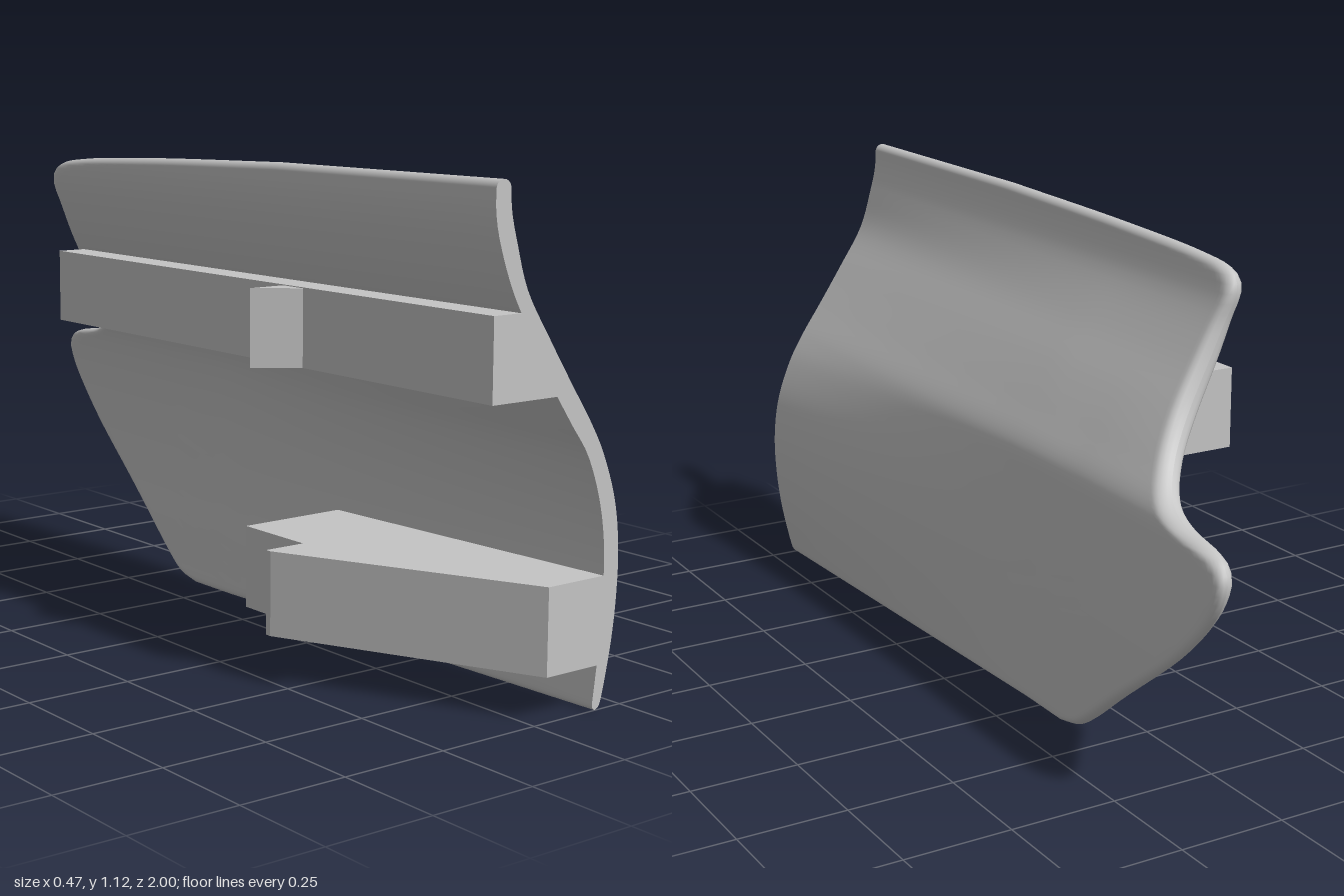
import * as THREE from 'three';

// Panel cross-sections: [height, inner x, outer x]
const FRONT = [
  [0, .165, .187], [.05, .172, .2], [.15, .184, .22], [.25, .19, .231], [.35, .19, .232],
  [.45, .173, .217], [.55, .135, .18], [.62, .085, .14], [.7, .03, .085], [.8, -.028, .018],
  [.9, -.085, -.045], [1, -.123, -.078], [1.06, -.135, -.093], [1.125, -.135, -.097],
];
const REAR = [
  [0, .1, .145], [.05, .103, .148], [.15, .108, .152], [.25, .114, .155], [.35, .115, .156],
  [.45, .112, .156], [.55, .1, .155], [.62, .08, .148], [.7, .035, .105], [.8, -.028, .045],
  [.9, -.085, -.02], [1, -.123, -.075], [1.06, -.135, -.093], [1.125, -.135, -.097],
];

// Rear edge of the panel from bottom to top: [z, y]
const EDGE = [
  [-.35, 0], [-.42, .017], [-.48, .055], [-.6, .148], [-.85, .34], [-.95, .44], [-.99, .5],
  [-1, .55], [-.98, .58], [-.93, .597], [-.83, .613], [-.76, .64], [-.7, .7], [-.66, .78],
  [-.64, .87], [-.636, .97], [-.645, 1.03], [-.635, 1.06], [-.6, 1.08], [-.5, 1.094],
  [-.2, 1.109], [.3, 1.122],
];

const clamp = THREE.MathUtils.clamp, lerp = THREE.MathUtils.lerp;

// Smooth interpolation of one column of a cross-section table
function sample(table, y, c) {
  let i = 0;
  while (i < table.length - 2 && y > table[i + 1][0]) i++;
  const slope = (k) => {
    const a = table[Math.max(k - 1, 0)], b = table[Math.min(k + 1, table.length - 1)];
    return (b[c] - a[c]) / (b[0] - a[0]);
  };
  const p = table[i], q = table[i + 1], h = q[0] - p[0], t = clamp((y - p[0]) / h, 0, 1);
  const t2 = t * t, t3 = t2 * t;
  return (2 * t3 - 3 * t2 + 1) * p[c] + (t3 - 2 * t2 + t) * h * slope(i)
    + (3 * t2 - 2 * t3) * q[c] + (t3 - t2) * h * slope(i + 1);
}

// Distance from a point to a polyline in the side plane
function distance(z, y, line) {
  let best = Infinity;
  for (let i = 0; i < line.length - 1; i++) {
    const a = line[i], b = line[i + 1], dz = b.x - a.x, dy = b.y - a.y;
    const t = clamp(((z - a.x) * dz + (y - a.y) * dy) / (dz * dz + dy * dy), 0, 1);
    best = Math.min(best, Math.hypot(z - a.x - t * dz, y - a.y - t * dy));
  }
  return best;
}

// Curved shell with a rounded rim and a flat front end
function panelGeometry() {
  const curve = new THREE.CatmullRomCurve3(EDGE.map(([z, y]) => new THREE.Vector3(z, y, 0)), false, 'centripetal');
  const edge = curve.getSpacedPoints(120);
  const rim = [new THREE.Vector3(1, 0, 0), ...edge, new THREE.Vector3(1, 1.122, 0)];
  const rows = edge.length, cols = 37, radius = .018;
  const inner = [], outer = [], cap = [], index = [];

  edge.forEach((e) => {
    for (let j = 0; j < cols; j++) {
      const y = e.y, z = lerp(e.x, 1, (1 - j / (cols - 1)) ** 2);
      const back = clamp((1 - z) / 1.2, 0, 1);
      const tip = clamp((-z - .4) / .6, 0, 1) * (1 - THREE.MathUtils.smoothstep(y, .62, .85));
      const xi = lerp(sample(FRONT, y, 1), sample(REAR, y, 1), back) + .035 * tip;
      const xo = lerp(sample(FRONT, y, 2), sample(REAR, y, 2), back) + .02 * tip;
      const d = Math.min(distance(z, y, rim) / radius, 1);
      const half = (xo - xi) / 2 * Math.sqrt(1 - (1 - d) ** 2), mid = (xi + xo) / 2;
      inner.push(mid - half, y, z);
      outer.push(mid + half, y, z);
      if (j === 0) cap.push(mid - half, y, z, mid + half, y, z);
    }
  });

  const count = rows * cols;
  for (let i = 0; i < rows - 1; i++) {
    for (let j = 0; j < cols - 1; j++) {
      const a = i * cols + j, b = a + 1, c = b + cols, d = a + cols;
      index.push(a + count, b + count, c + count, a + count, c + count, d + count);
      index.push(a, c, b, a, d, c);
    }
    const k = 2 * count + 2 * i;
    index.push(k, k + 1, k + 3, k, k + 3, k + 2);
  }
  const g = new THREE.BufferGeometry();
  g.setAttribute('position', new THREE.Float32BufferAttribute([...inner, ...outer, ...cap], 3));
  g.setIndex(index);
  g.computeVertexNormals();
  return g;
}

// Straight prism along z from an outline
function prism(points, depth) {
  const shape = new THREE.Shape(points.map(([x, y]) => new THREE.Vector2(x, y)));
  return new THREE.ExtrudeGeometry(shape, { depth, bevelEnabled: false });
}

// Upright prism from a plan outline of [x, z] points
function uprightPrism(plan, y0, y1) {
  return prism(plan.map(([x, z]) => [x, -z]), y1 - y0).rotateX(-Math.PI / 2).translate(0, y0, 0);
}

export function createModel() {
  const model = new THREE.Group();
  model.name = 'curvedPanel';
  const grey = new THREE.MeshStandardMaterial({ color: 0xc4c4c4 });
  grey.name = 'light grey';

  const add = (name, geometry) => {
    const mesh = new THREE.Mesh(geometry, grey);
    mesh.name = name;
    model.add(mesh);
  };

  add('shell', panelGeometry());

  // Long rail on the inside, with a wedge-shaped catch
  add('upperRail', prism([[-.135, .68], [.055, .68], [-.04, .857], [-.135, .857]], 1.6).translate(0, 0, -.6));
  add('upperCatch', uprightPrism([[-.13, .33], [-.13, .405], [-.226, .33]], .68, .855));

  // Lower bracket with a stepped hook
  add('lowerBracket', uprightPrism([
    [.2, 1], [.033, 1], [-.237, .42], [-.237, .405], [-.135, .405], [-.135, .195], [.155, .19],
  ], .097, .288));

  return model;
}
